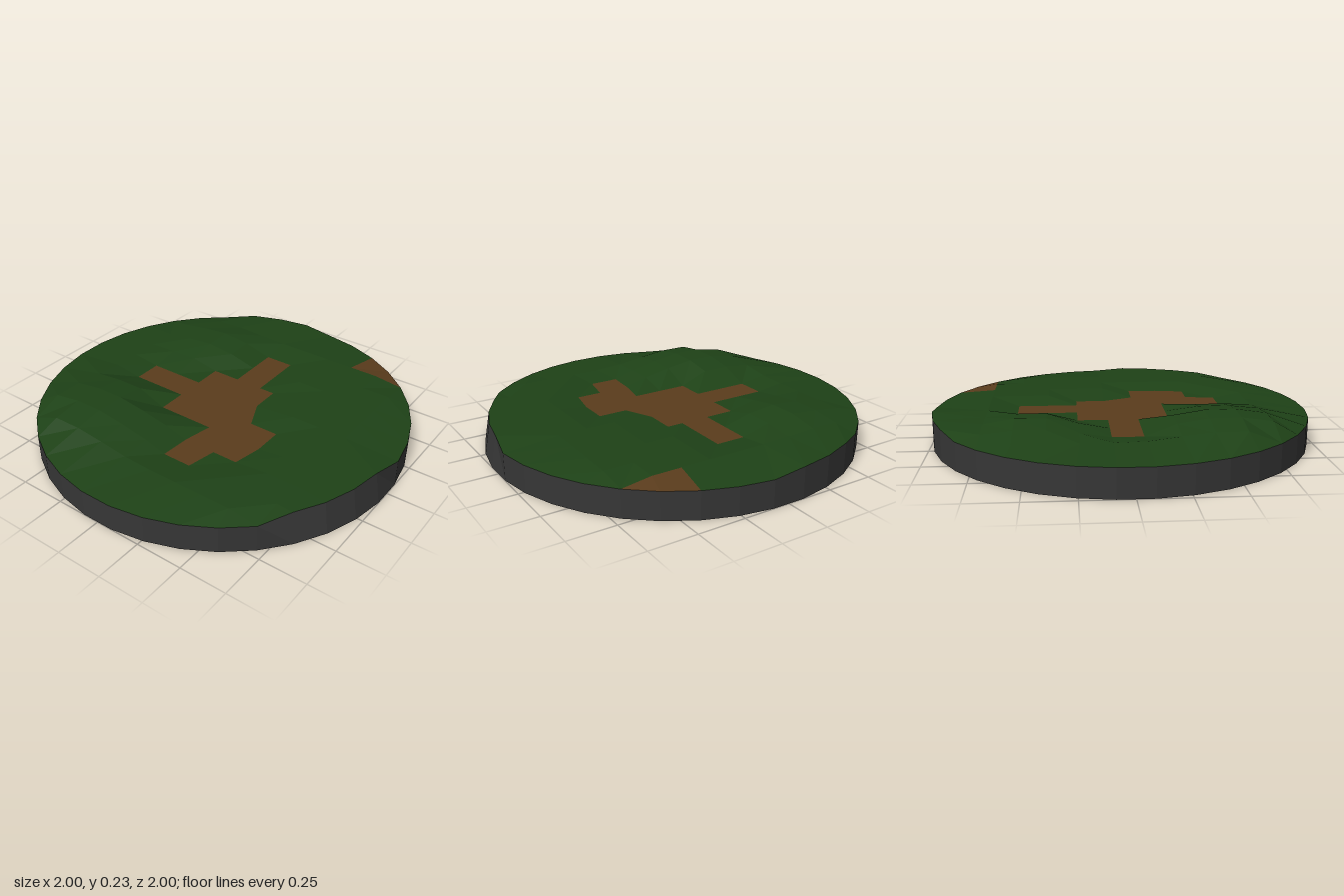
import * as THREE from 'three';

const N = 9, HALF = Math.SQRT1_2, SIDES = 36;
const GROUND = 0.165, RIM = 0.145;

// Dirt cells of the grid, listed per row (back to front) as column numbers
const DIRT = { 1: [4], 2: [4], 3: [3, 4, 5], 4: [3, 4, 5, 6, 7], 5: [1, 2, 3, 4, 5], 6: [2, 3] };
const isDirt = (i, j) => (DIRT[j] || []).includes(i);

// Small sideways shifts of path corners: 'column,row': [dx, dz]
const SHIFT = {
  '1,5': [0, -0.04], '2,5': [0, -0.03], '1,6': [0, -0.04], '2,6': [0, -0.01],
  '5,6': [0, -0.07], '6,6': [0, -0.07], '2,7': [0, -0.03],
};

// Soft round hill with a broad top
function hill(x, z, cx, cz, radius, height) {
  const d = Math.min(1, Math.hypot(x - cx, z - cz) / radius);
  return height * 0.5 * (1 + Math.cos(Math.PI * d));
}

// Rim point k of 36; two arcs of the rim are raised, the front one pulled in
function rimPoint(k) {
  const deg = -45 + 10 * k, a = THREE.MathUtils.degToRad(deg);
  const front = deg >= 95 && deg <= 125;
  const raised = front || (deg >= -25 && deg <= -5);
  const r = front ? 0.972 : 1.003;
  return new THREE.Vector3(r * Math.cos(a), raised ? GROUND : RIM, r * Math.sin(a));
}

// Point of the inner square grid; path corners lie a little lower
function gridPoint(i, j) {
  let x = HALF * (2 * i / N - 1), z = HALF * (2 * j / N - 1);
  const corner = (i === 0 || i === N) && (j === 0 || j === N);
  if (corner) {
    const k = i === N ? (j === 0 ? 0 : 9) : (j === N ? 18 : 27);
    return rimPoint(k);
  }
  let y = GROUND + hill(x, z, -0.48, -0.46, 0.56, 0.073) + hill(x, z, 0.48, -0.4, 0.36, 0.042);
  const onPath = isDirt(i, j) || isDirt(i - 1, j) || isDirt(i, j - 1) || isDirt(i - 1, j - 1);
  if (onPath) y = 0.145;
  const s = SHIFT[`${i},${j}`];
  if (s) { x += s[0]; z += s[1]; }
  return new THREE.Vector3(x, y, z);
}

// Adds a quad, dropping any collapsed triangle
function addQuad(list, a, b, c, d) {
  for (const [p, q, r] of [[a, b, c], [a, c, d]]) {
    if (p.distanceTo(q) < 1e-4 || q.distanceTo(r) < 1e-4 || r.distanceTo(p) < 1e-4) continue;
    list.push(...p.toArray(), ...q.toArray(), ...r.toArray());
  }
}

function makeMesh(name, list, color) {
  const geo = new THREE.BufferGeometry();
  geo.setAttribute('position', new THREE.Float32BufferAttribute(list, 3));
  geo.computeVertexNormals();
  const mesh = new THREE.Mesh(geo, new THREE.MeshStandardMaterial({ color, flatShading: true }));
  mesh.name = name;
  return mesh;
}

export function createModel() {
  const group = new THREE.Group();
  group.name = 'roundTerrain';
  const grass = [], dirt = [], wall = [], base = [];

  // Square middle of the ground
  for (let j = 0; j < N; j++) {
    for (let i = 0; i < N; i++) {
      addQuad(isDirt(i, j) ? dirt : grass,
        gridPoint(i, j), gridPoint(i, j + 1), gridPoint(i + 1, j + 1), gridPoint(i + 1, j));
    }
  }

  // Four segments between the square and the rim
  const edges = [
    m => gridPoint(N, m), m => gridPoint(N - m, N),
    m => gridPoint(0, N - m), m => gridPoint(m, 0),
  ];
  edges.forEach((edge, s) => {
    for (let m = 0; m < N; m++) {
      addQuad(s === 0 && m >= 7 ? dirt : grass,
        edge(m), edge(m + 1), rimPoint(s * N + m + 1), rimPoint(s * N + m));
    }
  });

  // Side wall and underside
  const foot = k => {
    const a = THREE.MathUtils.degToRad(-45 + 10 * k);
    return new THREE.Vector3(1.003 * Math.cos(a), 0, 1.003 * Math.sin(a));
  };
  const centre = new THREE.Vector3();
  for (let k = 0; k < SIDES; k++) {
    addQuad(wall, foot(k), rimPoint(k), rimPoint(k + 1), foot(k + 1));
    base.push(...centre.toArray(), ...foot(k).toArray(), ...foot(k + 1).toArray());
  }

  group.add(
    makeMesh('grass', grass, 0x1e4217),
    makeMesh('dirtPath', dirt, 0x5a3c1c),
    makeMesh('sideWall', wall, 0x363636),
    makeMesh('underside', base, 0x5a3c1c),
  );
  return group;
}
